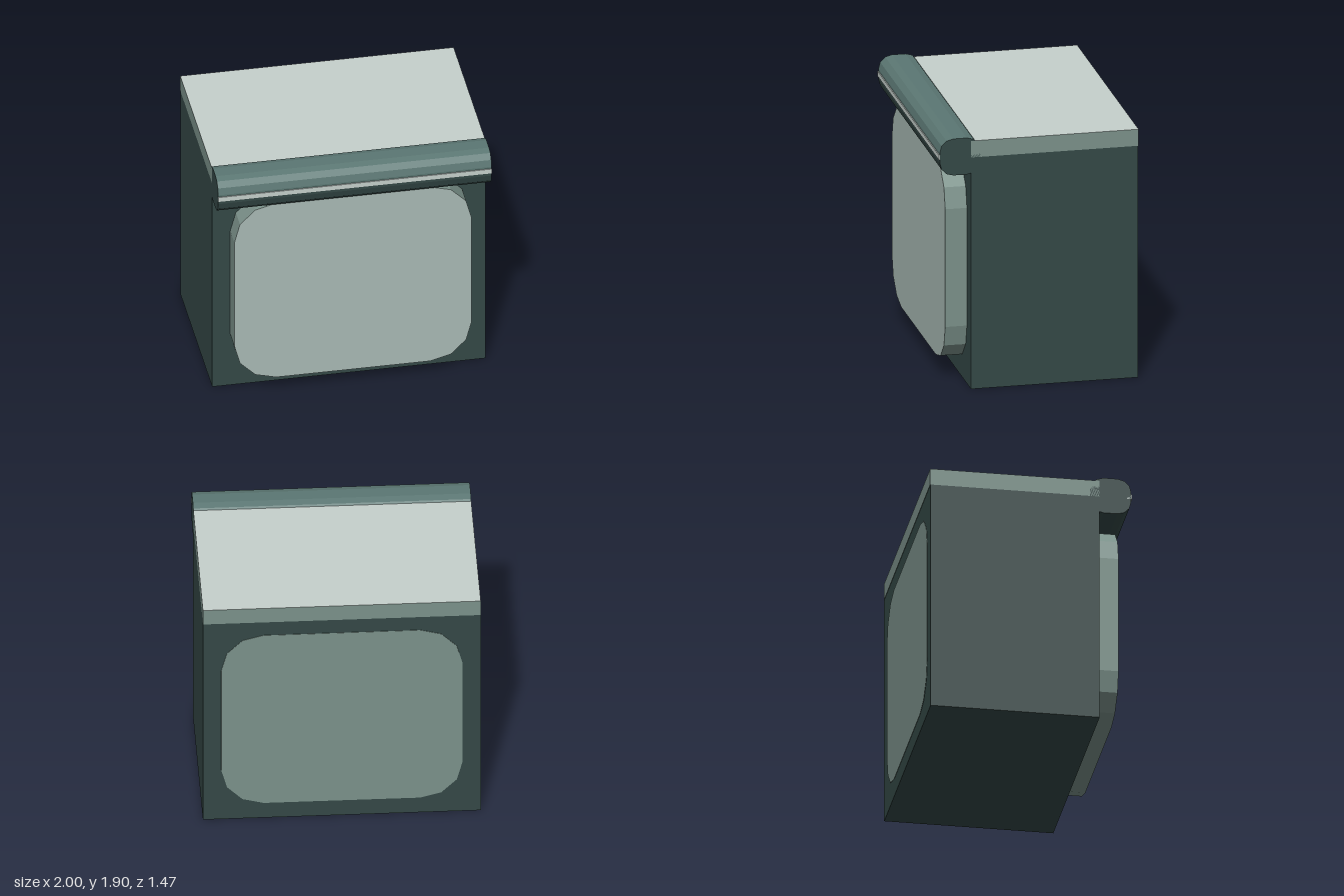
import * as THREE from 'three';

const paint = (color) => new THREE.MeshStandardMaterial({ color, flatShading: true });
const dark = paint(0x344846), mid = paint(0x7b918a), light = paint(0xa9bab5);
const pale = paint(0xc6d0cc), teal = paint(0x5b7773);

// Corner points of a rounded rectangle, counter-clockwise from the right, three facets per corner
function roundedPoints(halfW, halfH, r) {
  const points = [];
  [[1, 1], [-1, 1], [-1, -1], [1, -1]].forEach(([sx, sy], corner) => {
    for (let i = 0; i <= 3; i++) {
      const a = (corner + i / 3) * Math.PI / 2;
      points.push(new THREE.Vector2(
        sx * (halfW - r) + r * Math.cos(a), sy * (halfH - r) + r * Math.sin(a)));
    }
  });
  return points;
}

const extrude = (points, depth) =>
  new THREE.ExtrudeGeometry(new THREE.Shape(points), { depth, bevelEnabled: false });

export function createModel() {
  const group = new THREE.Group();
  const add = (name, geometry, material, x, y, z) => {
    const mesh = new THREE.Mesh(geometry, material);
    mesh.name = name;
    mesh.position.set(x, y, z);
    group.add(mesh);
    return mesh;
  };
  const box = (name, material, w, [y0, y1], [z0, z1]) =>
    add(name, new THREE.BoxGeometry(w, y1 - y0, z1 - z0), material, 0, (y0 + y1) / 2, (z0 + z1) / 2);

  // Cabinet body and the lid slab on top of it
  box('body', dark, 2, [0, 1.75], [-0.732, 0.5]);
  box('lid', [mid, mid, pale, mid, mid, mid], 2, [1.75, 1.875], [-0.735, 0.5]);

  // Raised front panel, and the matching panel set flush in the back
  const panel = roundedPoints(0.868, 0.75, 0.305);
  add('frontPanel', extrude(panel, 0.18), [light, mid], 0, 0.883, 0.48);
  add('backPanel', extrude(panel, 0.02), mid, 0, 0.883, -0.735);

  // Rounded bar across the front edge, in a lighter upper and a darker lower half
  const halfW = 0.15;
  const profile = roundedPoints(halfW, 0.138, 0.1);
  const left = new THREE.Vector2(-halfW, 0), right = new THREE.Vector2(halfW, 0);
  const barHalf = (name, points, sideMaterial) => {
    const geometry = extrude(points, 2).rotateY(-Math.PI / 2).translate(1, 0, 0);
    add(name, geometry, [dark, sideMaterial], 0, 1.762, 0.58);
  };
  barHalf('barUpper', [right, ...profile.slice(0, 8), left], teal);
  barHalf('barLower', [left, ...profile.slice(8), right], dark);

  // Thin bright trim along the face of the bar
  box('barTrim', pale, 2, [1.748, 1.785], [0.7, 0.737]);

  return group;
}
